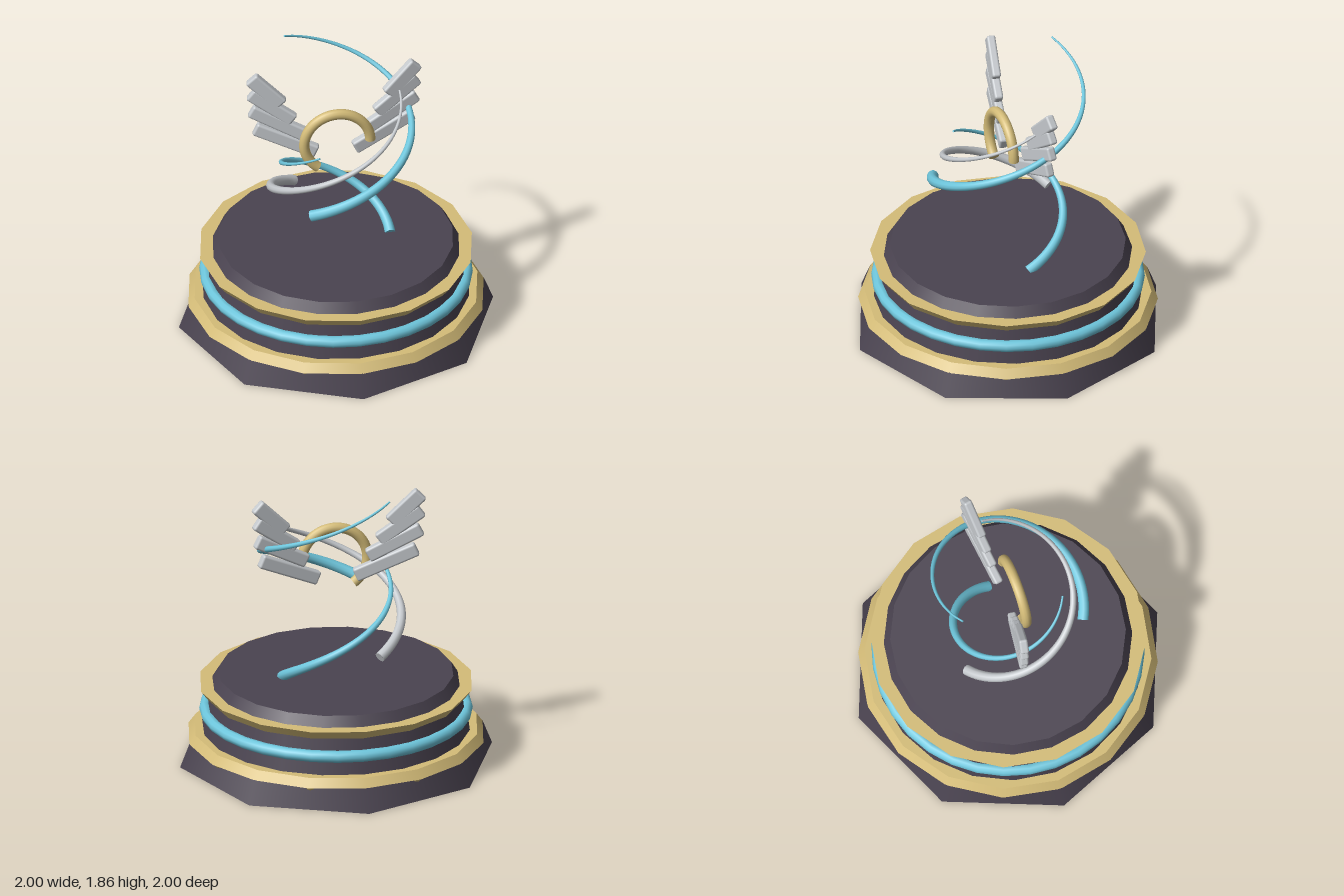
import * as THREE from 'three';
import { RoundedBoxGeometry } from 'three/addons/geometries/RoundedBoxGeometry.js';

const mat = (name, color) => {
  const m = new THREE.MeshStandardMaterial({ color });
  m.name = name;
  return m;
};

export function createModel() {
  const dark = mat('dark stone', 0x4a4350);
  const gold = mat('gold', 0xd4bc78);
  const cyan = mat('cyan', 0x6ec6dc);
  const silver = mat('silver', 0xc4c8cc);

  const model = new THREE.Group();
  model.name = 'wingedTrophy';
  const add = (name, geometry, material, parent = model) => {
    const mesh = new THREE.Mesh(geometry, material);
    mesh.name = name;
    parent.add(mesh);
    return mesh;
  };

  // Stepped plinth: y0, y1, bottom radius, top radius, sides
  const tier = (name, y0, y1, r0, r1, sides, material) => {
    add(name, new THREE.CylinderGeometry(r1, r0, y1 - y0, sides), material).position.y = (y0 + y1) / 2;
  };
  tier('octagonalFoot', 0, 0.152, 1, 0.94, 8, dark);
  tier('lowerBand', 0.15, 0.205, 0.94, 0.9, 16, gold);
  tier('middleTier', 0.2, 0.45, 0.845, 0.785, 20, dark);
  tier('upperBand', 0.44, 0.5, 0.82, 0.865, 16, gold);
  tier('topTier', 0.5, 0.565, 0.78, 0.74, 20, dark);

  // Glowing ring round the plinth
  const ring = add('plinthRing', new THREE.TorusGeometry(0.82, 0.038, 10, 32), cyan);
  ring.rotation.x = Math.PI / 2;
  ring.position.y = 0.322;

  // Studs under the lower band, one per foot face
  for (let i = 0; i < 8; i++) {
    const a = (i + 0.5) * Math.PI / 4;
    const stud = add('stud', new THREE.SphereGeometry(0.035, 8, 6), gold);
    stud.position.set(Math.cos(a) * 0.89, 0.155, Math.sin(a) * 0.89);
  }

  // Flat disc closing a tube end, facing along dir
  const cap = (point, dir, r, material, parent) => {
    const disc = add('endCap', new THREE.CircleGeometry(r, 10), material, parent);
    disc.position.copy(point);
    disc.quaternion.setFromUnitVectors(new THREE.Vector3(0, 0, 1), dir);
  };

  // Tapered helix ribbon; angles in degrees from +x towards +z
  const helix = (name, radius, a0, a1, y0, y1, r0, r1, material) => {
    const pts = [];
    for (let i = 0; i <= 32; i++) {
      const t = i / 32, a = THREE.MathUtils.degToRad(a0 + (a1 - a0) * t);
      pts.push(new THREE.Vector3(radius * Math.cos(a), y0 + (y1 - y0) * t, radius * Math.sin(a)));
    }
    const curve = new THREE.CatmullRomCurve3(pts);
    const segs = 64, sides = 10;
    const geo = new THREE.TubeGeometry(curve, segs, 1, sides);
    const pos = geo.attributes.position, v = new THREE.Vector3();
    for (let i = 0; i <= segs; i++) {
      const c = curve.getPointAt(i / segs), r = r0 + (r1 - r0) * i / segs;
      for (let j = 0; j <= sides; j++) {
        const k = i * (sides + 1) + j;
        v.fromBufferAttribute(pos, k).sub(c).multiplyScalar(r).add(c);
        pos.setXYZ(k, v.x, v.y, v.z);
      }
    }
    const group = new THREE.Group();
    group.name = name;
    model.add(group);
    add(name + 'Tube', geo, material, group);
    cap(curve.getPointAt(0), curve.getTangentAt(0).negate(), r0, material, group);
    cap(curve.getPointAt(1), curve.getTangentAt(1), r1, material, group);
  };
  helix('lowerCyanHelix', 0.345, 0, -243, 0.56, 1.375, 0.034, 0.006, cyan);
  helix('silverHelix', 0.41, 240, -3, 0.785, 1.61, 0.034, 0.007, silver);
  helix('upperCyanHelix', 0.475, 119, -123, 1.025, 1.85, 0.036, 0.006, cyan);

  // Open golden hoop between the wings
  const hoop = new THREE.Group();
  hoop.name = 'hoop';
  hoop.position.set(0, 1.31, 0.045);
  model.add(hoop);
  const arc = Math.PI * 1.3, R = 0.21, r = 0.033;
  add('hoopArc', new THREE.TorusGeometry(R, r, 12, 40, arc), gold, hoop);
  cap(new THREE.Vector3(R, 0, 0), new THREE.Vector3(0, -1, 0), r, gold, hoop);
  cap(new THREE.Vector3(R * Math.cos(arc), R * Math.sin(arc), 0),
    new THREE.Vector3(-Math.sin(arc), Math.cos(arc), 0), r, gold, hoop);

  // Wings of four feathers: x, y, length, width, tilt in degrees
  const feathers = [
    [0.31, 1.304, 0.425, 0.09, 24],
    [0.362, 1.436, 0.38, 0.09, 28],
    [0.397, 1.552, 0.335, 0.09, 36],
    [0.432, 1.668, 0.27, 0.098, 45],
  ];
  for (const s of [1, -1]) {
    const wing = new THREE.Group();
    wing.name = s > 0 ? 'leftWing' : 'rightWing';
    wing.rotation.y = s * 0.17;
    model.add(wing);
    for (const [x, y, length, width, tilt] of feathers) {
      const f = add('feather', new RoundedBoxGeometry(length, width, 0.055, 2, 0.015), silver, wing);
      f.position.set(s * x * 1.015, y, 0.002);
      f.rotation.z = s * THREE.MathUtils.degToRad(tilt);
    }
  }
  return model;
}
